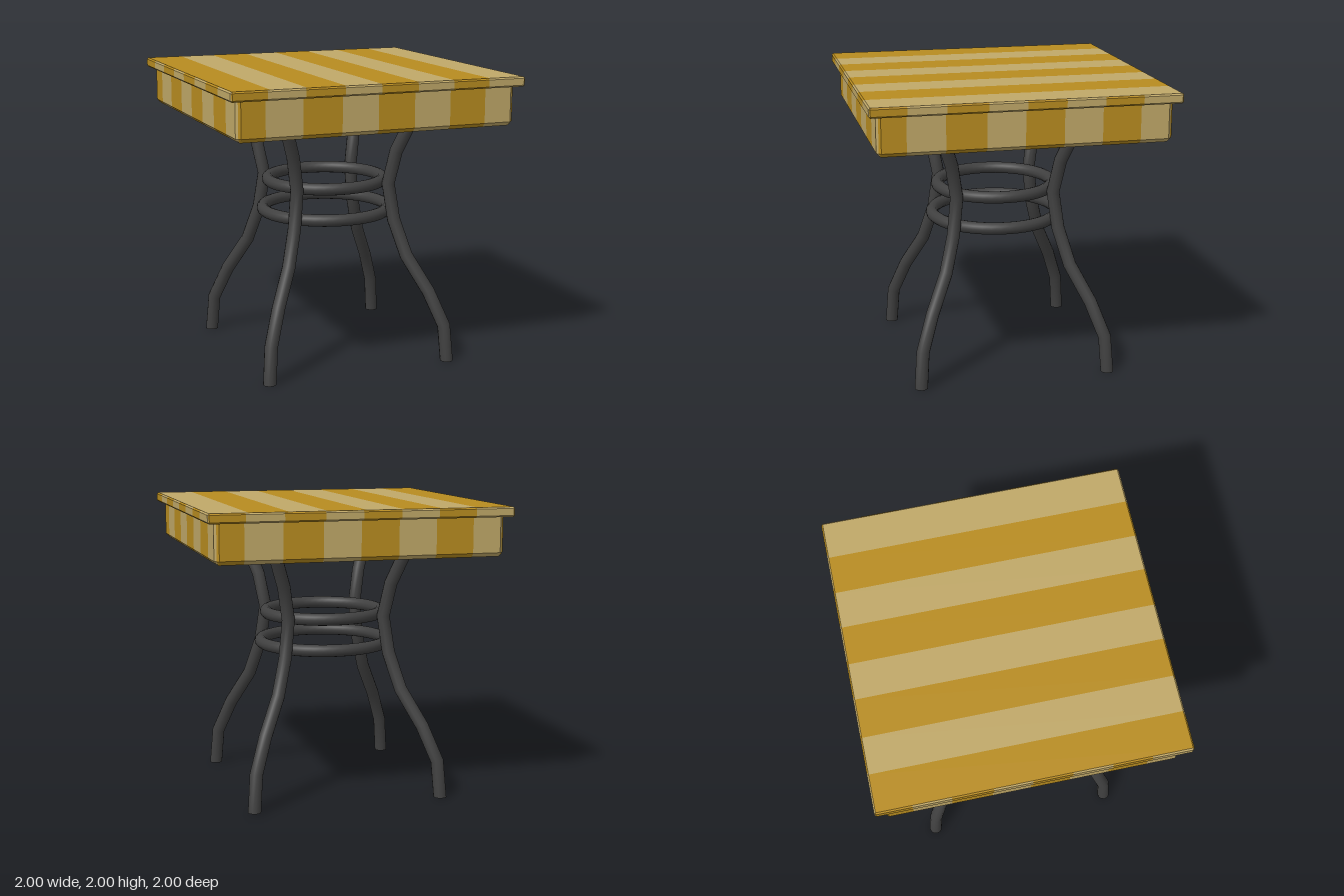
import * as THREE from 'three';

const amber = new THREE.MeshStandardMaterial({ color: 0xb88c20 });
amber.name = 'amber wood';
const tan = new THREE.MeshStandardMaterial({ color: 0xc0a868 });
tan.name = 'pale wood';
const iron = new THREE.MeshStandardMaterial({ color: 0x404040 });
iron.name = 'dark iron';

// stripe boundaries across the flat faces and across the side faces
const FLAT = [-0.745, -0.505, -0.25, -0.01, 0.245, 0.49, 0.745];
const SIDE = [-0.765, -0.52, -0.26, -0.015, 0.235, 0.485, 0.735];

// striped square block from rings { h: half width, b: corner cut, y }, listed bottom to top
function stripedBlock(name, rings) {
  const pos = [[], []];
  const quad = (c, p, q, r, s) => {
    for (const v of [p, q, r, p, r, s]) pos[c].push(...v);
  };
  // points of one ring along the front side, meeting its neighbours on the diagonals
  const row = ({ h, b, y }) => {
    const end = h - b / 2;
    return [[-end, y, end], [-(h - b), y, h], ...SIDE.map(x => [x, y, h]), [h - b, y, h], [end, y, end]];
  };
  const turn = ([x, y, z], k) => {
    for (let i = 0; i < k; i++) [x, z] = [z, -x];
    return [x, y, z];
  };
  for (let k = 0; k < 4; k++) {
    for (let i = 0; i < rings.length - 1; i++) {
      const lo = row(rings[i]).map(p => turn(p, k));
      const hi = row(rings[i + 1]).map(p => turn(p, k));
      for (let j = 0; j < lo.length - 1; j++) {
        const stripe = Math.min(Math.max(j - 1, 0), 7);
        quad(stripe % 2, lo[j], lo[j + 1], hi[j + 1], hi[j]);
      }
    }
  }
  // flat striped faces below and above
  const bottom = rings[0], top = rings[rings.length - 1];
  for (const [{ h, y }, up] of [[bottom, false], [top, true]]) {
    const xs = [-h, ...FLAT, h];
    for (let j = 0; j < 8; j++) {
      const z = up ? h : -h;
      quad(j % 2, [xs[j], y, z], [xs[j + 1], y, z], [xs[j + 1], y, -z], [xs[j], y, -z]);
    }
  }
  const geo = new THREE.BufferGeometry();
  geo.setAttribute('position', new THREE.Float32BufferAttribute([...pos[0], ...pos[1]], 3));
  geo.addGroup(0, pos[0].length / 3, 0);
  geo.addGroup(pos[0].length / 3, pos[1].length / 3, 1);
  geo.computeVertexNormals();
  const mesh = new THREE.Mesh(geo, [amber, tan]);
  mesh.name = name;
  return mesh;
}

// path with angular bends, one tube section per point
class BentPath extends THREE.Curve {
  constructor(points) {
    super();
    this.points = points;
  }
  getPoint(t, target = new THREE.Vector3()) {
    const n = this.points.length - 1;
    const i = Math.min(Math.floor(t * n), n - 1);
    return target.lerpVectors(this.points[i], this.points[i + 1], t * n - i);
  }
  getPointAt(u, target) { return this.getPoint(u, target); }
  getTangentAt(u, target) { return this.getTangent(u, target); }
}

export function createModel() {
  const group = new THREE.Group();
  group.name = 'table';

  // table top and the deep apron below it
  group.add(stripedBlock('tableTop', [
    { h: 0.99, b: 0, y: 1.935 },
    { h: 1, b: 0.01, y: 1.945 },
    { h: 1, b: 0.01, y: 1.99 },
    { h: 0.99, b: 0, y: 2 },
  ]));
  group.add(stripedBlock('apron', [
    { h: 0.922, b: 0, y: 1.675 },
    { h: 0.95, b: 0.028, y: 1.702 },
    { h: 0.95, b: 0.028, y: 1.94 },
  ]));

  // bent legs standing on the diagonals: [x = z, y]
  const path = [[0.65, 0], [0.632, 0.25], [0.55, 0.48], [0.433, 0.72], [0.365, 0.97],
    [0.335, 1.22], [0.375, 1.45], [0.465, 1.71]];
  const curve = new BentPath(path.map(([d, y]) => new THREE.Vector3(d, y, d)));
  const legGeo = new THREE.TubeGeometry(curve, path.length - 1, 0.045, 12);
  // level the foot so it sits flat
  for (let i = 0; i <= 12; i++) legGeo.attributes.position.setY(i, 0);
  const footGeo = new THREE.CircleGeometry(0.045, 12).rotateX(Math.PI / 2);
  ['frontLeftLeg', 'backLeftLeg', 'backRightLeg', 'frontRightLeg'].forEach((name, k) => {
    const leg = new THREE.Group();
    leg.name = name;
    const foot = new THREE.Mesh(footGeo, iron);
    foot.name = 'footCap';
    foot.position.set(0.65, 0, 0.65);
    const tube = new THREE.Mesh(legGeo, iron);
    tube.name = 'legTube';
    leg.add(tube, foot);
    leg.rotation.y = k * Math.PI / 2;
    group.add(leg);
  });

  // two bracing rings inside the legs
  for (const [name, radius, y] of [['upperRing', 0.4, 1.22], ['lowerRing', 0.438, 1.013]]) {
    const ring = new THREE.Mesh(new THREE.TorusGeometry(radius, 0.042, 12, 48).rotateX(Math.PI / 2), iron);
    ring.name = name;
    ring.position.y = y;
    group.add(ring);
  }
  return group;
}
